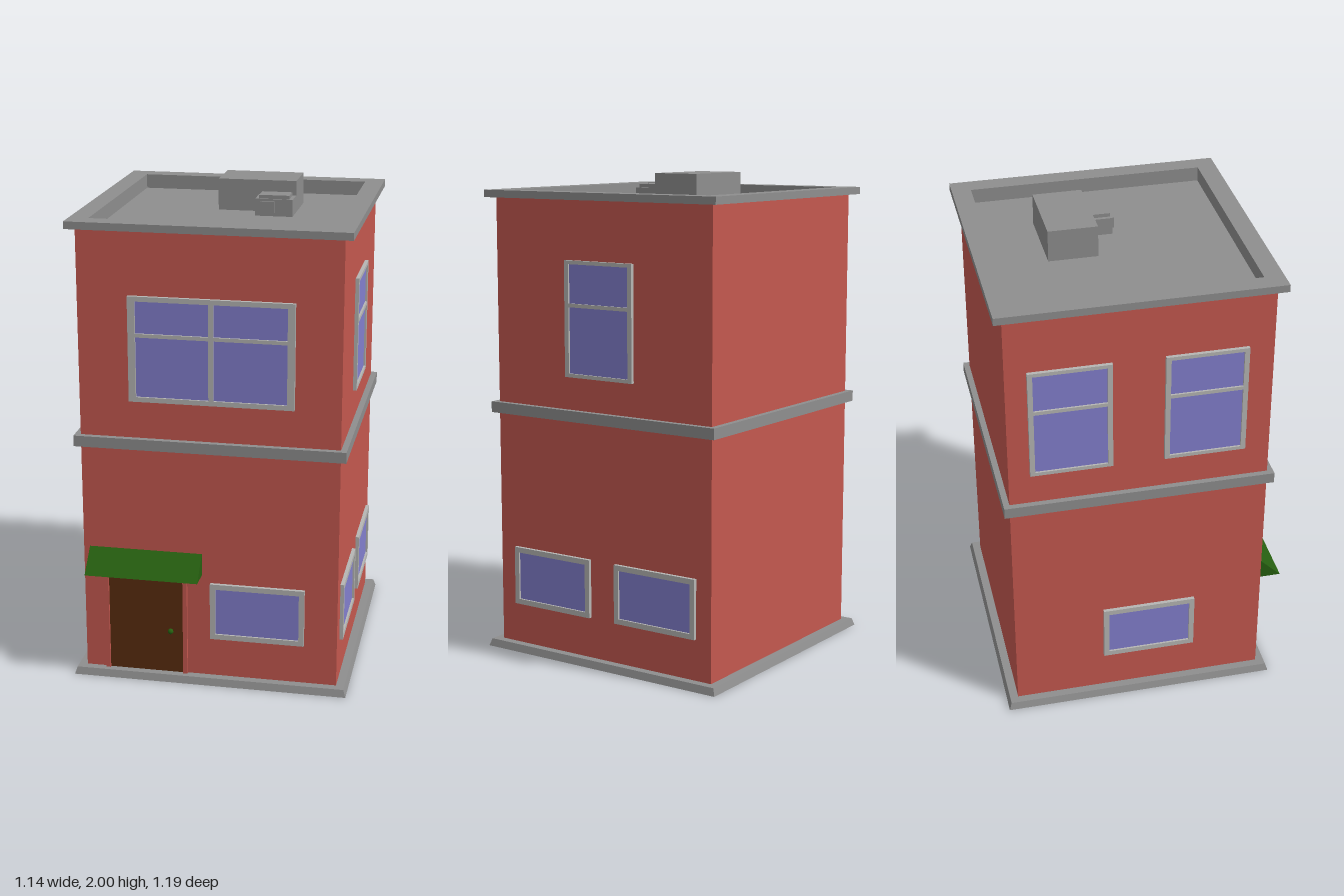
import * as THREE from 'three';

const mat = (name, color, side = THREE.FrontSide) => {
  const m = new THREE.MeshStandardMaterial({ color, side });
  m.name = name;
  return m;
};

// House body footprint
const X0 = -0.53, X1 = 0.525, Z0 = -0.55, Z1 = 0.505;
const CX = (X0 + X1) / 2, CZ = (Z0 + Z1) / 2;

export function createModel() {
  const house = new THREE.Group();
  house.name = 'house';
  const brick = mat('brick red', 0xc4584f, THREE.DoubleSide);
  const stone = mat('stone grey', 0x8e8e8e, THREE.DoubleSide);
  const frameGrey = mat('frame light grey', 0xb6b6b4);
  const glass = mat('glass blue', 0x837fce);
  const wood = mat('door brown', 0x5a2d0f);
  const green = mat('awning green', 0x265f10);

  const add = (name, geo, material, parent = house) => {
    const mesh = new THREE.Mesh(geo, material);
    mesh.name = name;
    parent.add(mesh);
    return mesh;
  };
  // Box given by its minimum and maximum on each axis
  const box = (name, material, x0, x1, y0, y1, z0, z1, parent) => {
    const mesh = add(name, new THREE.BoxGeometry(x1 - x0, y1 - y0, z1 - z0), material, parent);
    mesh.position.set((x0 + x1) / 2, (y0 + y1) / 2, (z0 + z1) / 2);
    return mesh;
  };
  // Rectangle with rectangular holes, extruded along z; each entry is [x0, x1, y0, y1]
  const trace = (path, [x0, x1, y0, y1]) => {
    path.moveTo(x0, y0).lineTo(x1, y0).lineTo(x1, y1).lineTo(x0, y1);
    path.closePath();
    return path;
  };
  const pierced = (outer, holes, depth) => {
    const shape = trace(new THREE.Shape(), outer);
    for (const h of holes) shape.holes.push(trace(new THREE.Path(), h));
    return new THREE.ExtrudeGeometry(shape, { depth, bevelEnabled: false });
  };
  // Horizontal square ring around the house, half sizes outer and inner
  const ring = (name, outer, inner, y0, y1) => {
    const geo = pierced([-outer, outer, -outer, outer], [[-inner, inner, -inner, inner]], y1 - y0);
    geo.rotateX(-Math.PI / 2);
    const mesh = add(name, geo, stone);
    mesh.position.set(CX, y0, CZ);
    return mesh;
  };

  // Walls: box without top and bottom, open underneath
  const wallGeo = new THREE.BoxGeometry(X1 - X0, 1.88, Z1 - Z0);
  const keep = wallGeo.groups.filter((g) => g.materialIndex !== 2 && g.materialIndex !== 3);
  const index = keep.flatMap((g) => Array.from(wallGeo.index.array.slice(g.start, g.start + g.count)));
  wallGeo.setIndex(index);
  wallGeo.clearGroups();
  add('walls', wallGeo, brick).position.set(CX, 0.96, CZ);

  // Plinth with slightly sloping sides, middle band and roof edge
  const plinth = ring('plinth', 0.572, 0.525, 0, 0.03);
  const p = plinth.geometry.attributes.position;
  for (let i = 0; i < p.count; i++) {
    if (p.getY(i) > 0.02 && Math.abs(p.getX(i)) > 0.55) {
      p.setX(i, Math.sign(p.getX(i)) * 0.562);
      p.setZ(i, Math.sign(p.getZ(i)) * 0.562);
    }
  }
  plinth.geometry.computeVertexNormals();
  ring('middleBand', 0.552, 0.524, 1.01, 1.055);
  ring('roofEdge', 0.563, 0.484, 1.9, 1.93);
  ring('parapetInside', 0.52, 0.484, 1.87, 1.905);
  box('roofDeck', stone, CX - 0.52, CX + 0.52, 1.86, 1.87, CZ - 0.52, CZ + 0.52);

  // Roof housing and small vent unit
  box('roofHousing', stone, -0.08, 0.245, 1.87, 2, -0.29, -0.09);
  box('ventBase', stone, 0.09, 0.245, 1.87, 1.94, -0.09, 0.005);
  box('ventCap', stone, 0.105, 0.23, 1.94, 1.955, -0.08, -0.002);
  box('ventOutlet', stone, 0.112, 0.172, 1.885, 1.93, 0.005, 0.015);

  // Windows: a pierced frame running through the wall, with thin panes
  const addWindow = (name, w, h, panes, x, y, z, turn) => {
    const g = new THREE.Group();
    g.name = name;
    g.position.set(x, y, z);
    g.rotation.y = turn;
    const frame = add('windowFrame', pierced([-w / 2, w / 2, -h / 2, h / 2], panes, 0.075), frameGrey, g);
    frame.position.z = -0.06;
    for (const [x0, x1, y0, y1] of panes) box('windowPane', glass, x0, x1, y0, y1, 0.001, 0.007, g);
    house.add(g);
  };
  const single = (w, h) => [[-w / 2 + 0.022, w / 2 - 0.022, -h / 2 + 0.022, h / 2 - 0.022]];
  const sash = [[-0.145, 0.145, -0.22, 0.048], [-0.145, 0.145, 0.063, 0.22]];
  const fourPane = [];
  for (const [a, b] of [[-0.303, -0.01], [0.01, 0.303]]) {
    fourPane.push([a, b, -0.195, 0.05], [a, b, 0.065, 0.195]);
  }
  const Q = Math.PI / 2;
  addWindow('frontUpperWindow', 0.665, 0.43, fourPane, 0.008, 1.425, Z1, 0);
  addWindow('frontLowerWindow', 0.39, 0.245, single(0.39, 0.245), 0.195, 0.3225, Z1, 0);
  for (const z of [0.23, -0.285]) {
    addWindow('sideLowerWindow', 0.39, 0.245, single(0.39, 0.245), X1, 0.3225, z, Q);
  }
  addWindow('sideUpperWindow', 0.33, 0.47, sash, X1, 1.425, -0.018, Q);
  for (const z of [-0.3, 0.238]) addWindow('sideUpperWindow', 0.33, 0.47, sash, X0, 1.425, z, -Q);
  addWindow('sideLowerWindow', 0.39, 0.245, single(0.39, 0.245), X0, 0.3225, 0.02, -Q);

  // Door with brick jambs and knob
  box('door', wood, -0.428, -0.115, 0.03, 0.49, 0.46, 0.508);
  for (const x of [-0.445, -0.115]) box('doorJamb', brick, x, x + 0.018, 0.03, 0.49, 0.45, 0.518);
  const knob = add('doorKnob', new THREE.SphereGeometry(0.012, 10, 8), green);
  knob.position.set(-0.168, 0.215, 0.512);

  // Wedge-shaped awning over the door
  const wedge = new THREE.Shape();
  wedge.moveTo(-0.6, 0.478).lineTo(-0.47, 0.478).lineTo(-0.47, 0.57).lineTo(-0.505, 0.57);
  wedge.closePath();
  const awning = new THREE.ExtrudeGeometry(wedge, { depth: 0.47, bevelEnabled: false });
  awning.rotateY(Q); // shape x becomes -z, depth becomes x
  add('awning', awning, green).position.x = -0.505;

  return house;
}
